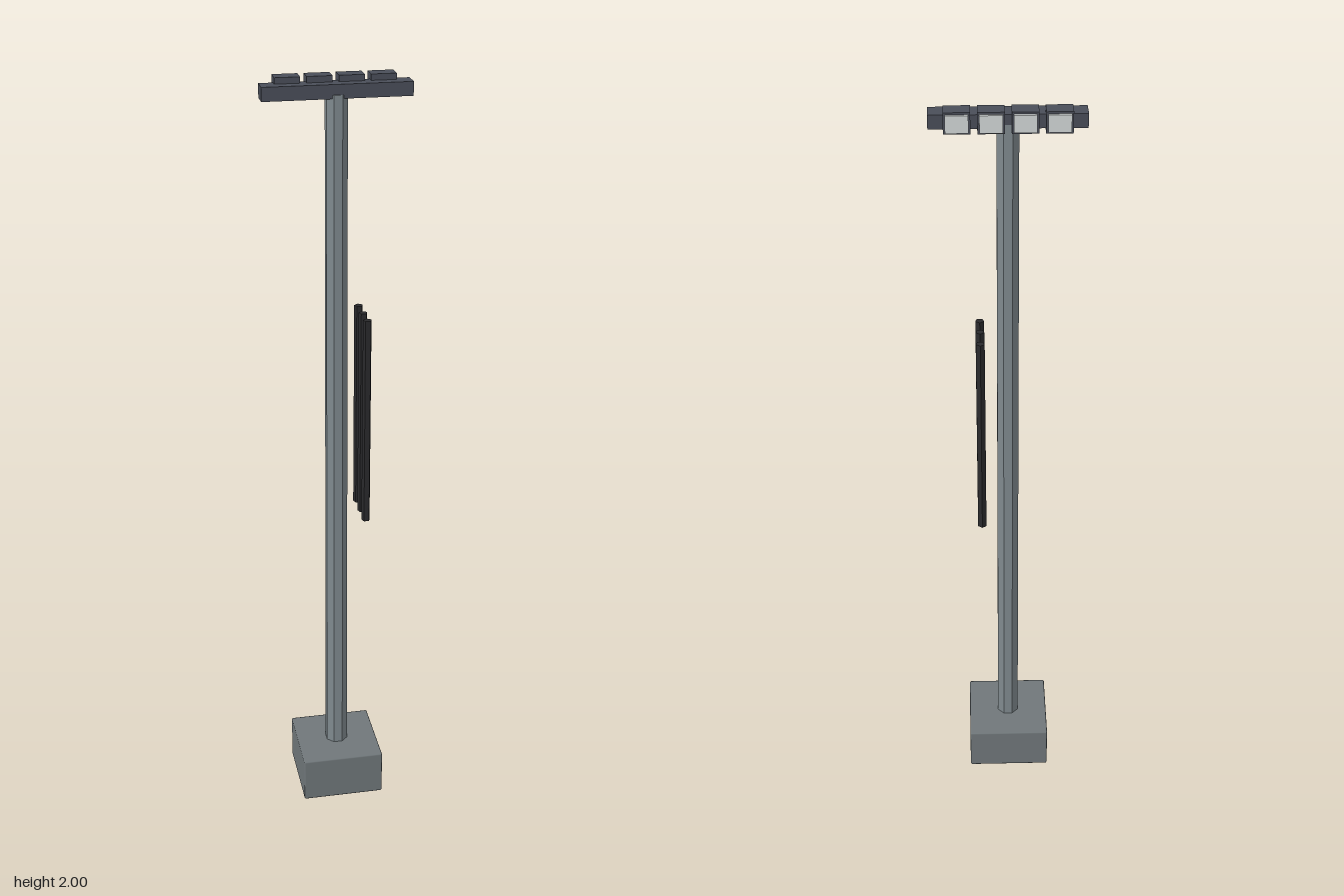
import * as THREE from 'three';
import { RoundedBoxGeometry } from 'three/addons/geometries/RoundedBoxGeometry.js';

const paint = (name, color) => {
  const m = new THREE.MeshStandardMaterial({ color });
  m.name = name;
  return m;
};

export function createModel() {
  const concrete = paint('concrete grey', 0x70777a);
  const steel = paint('pole steel', 0x7f898e);
  const housing = paint('dark housing', 0x4a4e59);
  const glass = paint('lamp glass', 0xd3d8d8);
  const rubber = paint('black rod', 0x2a2a2c);

  const model = new THREE.Group();
  model.name = 'floodlightMast';
  const add = (name, geometry, material, x, y, z) => {
    const mesh = new THREE.Mesh(geometry, material);
    mesh.name = name;
    mesh.position.set(x, y, z);
    model.add(mesh);
    return mesh;
  };
  // Faceted upright with crisp edges
  const prism = (top, bottom, height, sides, turn) =>
    new THREE.CylinderGeometry(top, bottom, height, sides).rotateY(turn).toNonIndexed();
  const faceted = (g) => { g.computeVertexNormals(); return g; };

  // Footing block with a slight edge bevel
  add('base', new RoundedBoxGeometry(0.222, 0.126, 0.222, 1, 0.004), concrete, 0, 0.063, 0);

  // Octagonal pole, flat side forward
  add('pole', faceted(prism(0.028, 0.031, 1.85, 8, Math.PI / 8)), steel, 0, 1.035, 0);

  // Crossbar at the top
  add('crossbar', new THREE.BoxGeometry(0.365, 0.034, 0.048), housing, 0, 1.968, -0.001);

  // Four lamps with glass facing backwards
  const lampBox = new THREE.BoxGeometry(0.062, 0.052, 0.042);
  const lensBox = new THREE.BoxGeometry(0.053, 0.042, 0.008);
  for (let i = 0; i < 4; i++) {
    const x = (i - 1.5) * 0.0775;
    add('lamp' + (i + 1), lampBox, housing, x, 1.974, -0.027);
    add('lampGlass' + (i + 1), lensBox, glass, x, 1.974, -0.051);
  }

  // Three five-sided rods standing beside the pole
  const rod = faceted(prism(0.0115, 0.0115, 0.56, 5, Math.PI));
  [-0.057, 0, 0.055].forEach((z, i) => add('rod' + (i + 1), rod, rubber, 0.069, 1.125, z));

  return model;
}
